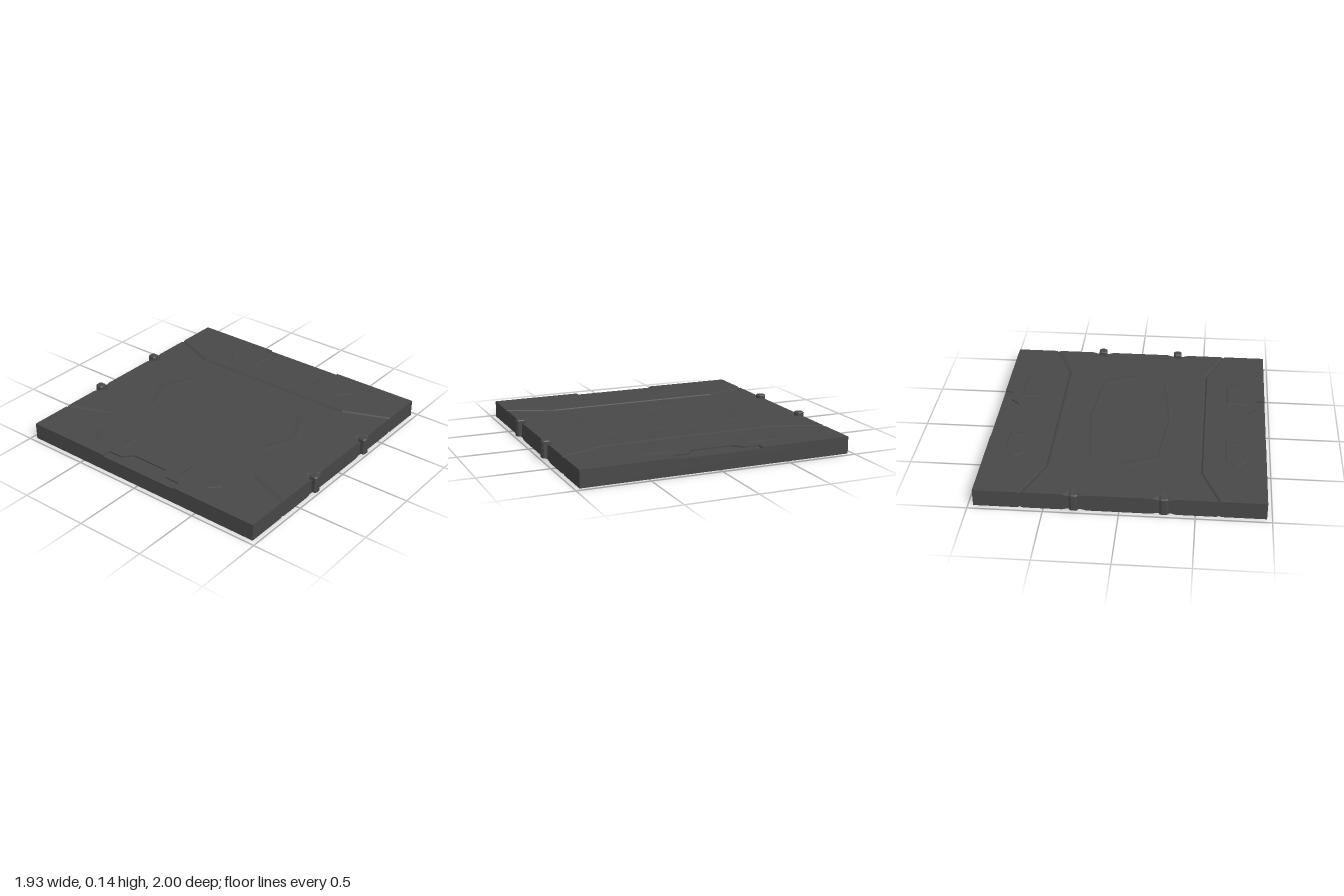
import * as THREE from 'three';

const material = new THREE.MeshStandardMaterial({ color: 0x484848, flatShading: true });
const HALF = 0.965, TOP = 0.12, SKIN = 0.01;

// Flat-faced surface stepping through matching [x, z] outlines, closed by a cap on the last.
// layers: [{ pts, y }]; down = true makes it face the floor.
function stepped(name, layers, down = false) {
  const first = layers[0].pts.map(([x, z]) => new THREE.Vector2(x, -z));
  const reverse = THREE.ShapeUtils.area(first) < 0;
  const rings = layers.map(({ pts, y }) => {
    const ring = pts.map(([x, z]) => new THREE.Vector3(x, y, z));
    return reverse ? ring.reverse() : ring;
  });
  const pos = [];
  const tri = (a, b, c) => (down ? [a, c, b] : [a, b, c]).forEach((p) => pos.push(p.x, p.y, p.z));
  for (let r = 0; r + 1 < rings.length; r++) {
    const lo = rings[r], hi = rings[r + 1];
    lo.forEach((p, i) => {
      const j = (i + 1) % lo.length;
      tri(p, lo[j], hi[j]);
      tri(p, hi[j], hi[i]);
    });
  }
  const cap = rings[rings.length - 1];
  const flat = cap.map((p) => new THREE.Vector2(p.x, -p.z));
  THREE.ShapeUtils.triangulateShape(flat, []).forEach(([a, b, c]) => tri(cap[a], cap[b], cap[c]));
  const geo = new THREE.BufferGeometry();
  geo.setAttribute('position', new THREE.Float32BufferAttribute(pos, 3));
  geo.computeVertexNormals();
  const mesh = new THREE.Mesh(geo, material);
  mesh.name = name;
  return mesh;
}

// Middle panel outline: g = distance from the groove line, w and d = half width and depth of the clip notches
function middleOutline(g, w, d) {
  const quarter = [[0.295 - w, HALF], [0.295, HALF - d], [0.295 + w, HALF], [0.655 - g, HALF], [0.525 - g, 0.64]];
  const right = [...quarter, ...quarter.map(([x, z]) => [x, -z]).reverse()];
  return [...right, ...right.map(([x, z]) => [-x, z]).reverse()];
}

// Side panel outline, with an optional stepped cut-out in the outer edge
function sideOutline(s, g, cut) {
  const step = cut ? [[HALF, 0.31], [0.9, 0.31], [0.9, 0.2], [0.835, 0.14]] : [];
  const half = [[0.525 + g, 0.64], [0.655 + g, HALF], [HALF, HALF], ...step];
  return [...half, ...half.map(([x, z]) => [x, -z]).reverse()].map(([x, z]) => [s * x, z]);
}

function hexOutline(tip, x, z, side) {
  return [[0, tip], [x, z], [side, 0], [x, -z], [0, -tip], [-x, -z], [-side, 0], [-x, z]];
}

export function createModel() {
  const model = new THREE.Group();
  model.name = 'floorPanel';

  // Core slab between the two skins
  const core = new THREE.Mesh(new THREE.BoxGeometry(2 * HALF, TOP - 2 * SKIN, 2 * HALF), material);
  core.position.y = TOP / 2;
  core.name = 'coreSlab';
  model.add(core);

  // Upper and lower skins, separated by V grooves
  for (const down of [false, true]) {
    const y0 = down ? SKIN : TOP - SKIN, y1 = down ? 0 : TOP;
    const label = down ? 'lower' : 'upper';
    model.add(stepped(label + 'MiddlePanel', [
      { pts: middleOutline(0, 0.045, 0.035), y: y0 },
      { pts: middleOutline(0.02, 0.08, 0.07), y: y1 },
    ], down));
    for (const s of [-1, 1]) {
      model.add(stepped(label + 'SidePanel', [
        { pts: sideOutline(s, 0, !down), y: y0 },
        { pts: sideOutline(s, 0.01, !down), y: y1 },
      ], down));
    }
  }

  // Shallow bevelled ridge around the central field
  model.add(stepped('centralRidge', [
    { pts: hexOutline(0.64, 0.245, 0.53, 0.295), y: TOP },
    { pts: hexOutline(0.595, 0.23, 0.495, 0.28), y: TOP + 0.004 },
    { pts: hexOutline(0.55, 0.215, 0.465, 0.27), y: TOP + 0.0005 },
  ]));

  for (const sx of [-1, 1]) {
    for (const sz of [-1, 1]) {
      // Raised pointed pads
      const pad = (e) => [[0.685 + e, 0.25 + e], [0.835 - e, 0.25 + e], [0.835 - e, 0.49 - e / 2],
        [0.76, 0.565 - e * 1.4], [0.685 + e, 0.49 - e / 2]].map(([x, z]) => [sx * x, sz * z]);
      model.add(stepped('pointedPad', [
        { pts: pad(0), y: TOP },
        { pts: pad(0.01), y: TOP + 0.004 },
      ]));

      // Upright edge clips with a chamfered top
      const clip = (e) => [[0.03, 0.945], [0.03, 0.99], [0.015, 1], [-0.015, 1], [-0.03, 0.99],
        [-0.03, 0.945], [-0.015, 0.936], [0.015, 0.936]]
        .map(([x, z]) => [sx * 0.295 + x * (1 - e), sz * (0.968 + (z - 0.968) * (1 - e))]);
      const group = new THREE.Group();
      group.name = 'edgeClip';
      group.add(stepped('clipBody', [
        { pts: clip(0), y: 0.02 },
        { pts: clip(0), y: 0.132 },
        { pts: clip(0.2), y: 0.14 },
      ]));
      group.add(stepped('clipBase', [{ pts: clip(0), y: 0.02 }], true));
      model.add(group);
    }
  }
  return model;
}
